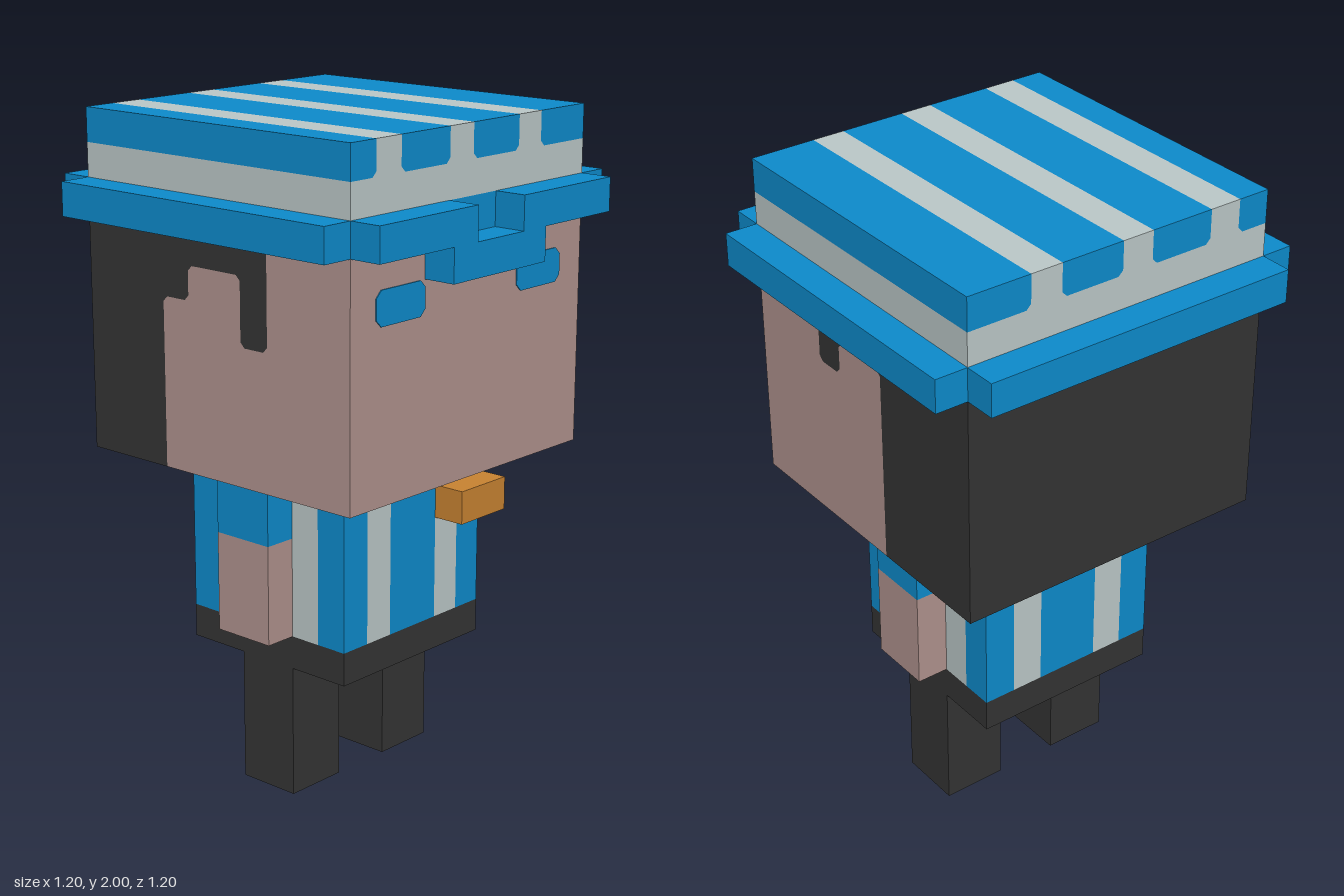
import * as THREE from 'three';

export function createModel() {
  const model = new THREE.Group();
  model.name = 'blockFigure';

  const mat = (name, color) => {
    const m = new THREE.MeshStandardMaterial({ color });
    m.name = name;
    return m;
  };
  const blue = mat('blue cloth', 0x0d8bcc);
  const grey = mat('pale grey cloth', 0xbcc8c8);
  const skin = mat('skin', 0xb0938e);
  const black = mat('charcoal', 0x343434);
  const orange = mat('orange', 0xc88332);

  const add = (name, geometry, material) => {
    const mesh = new THREE.Mesh(geometry, material);
    mesh.name = name;
    model.add(mesh);
    return mesh;
  };
  // Box given by its limits on each axis
  const box = (name, material, x0, x1, y0, y1, z0, z1) =>
    add(name, new THREE.BoxGeometry(x1 - x0, y1 - y0, z1 - z0), material)
      .position.set((x0 + x1) / 2, (y0 + y1) / 2, (z0 + z1) / 2);
  // Outline in x, y pushed along z
  const prismZ = (name, material, pts, z0, z1) => {
    const shape = new THREE.Shape(pts.map(p => new THREE.Vector2(...p)));
    const g = new THREE.ExtrudeGeometry(shape, { depth: z1 - z0, bevelEnabled: false });
    return add(name, g.translate(0, 0, z0), material);
  };
  // Outline in z, y pushed along x
  const prismX = (name, material, pts, x0, x1) => {
    const shape = new THREE.Shape(pts.map(([z, y]) => new THREE.Vector2(-z, y)));
    const g = new THREE.ExtrudeGeometry(shape, { depth: x1 - x0, bevelEnabled: false });
    return add(name, g.rotateY(Math.PI / 2).translate(x0, 0, 0), material);
  };

  // Legs and belt
  for (const s of [-1, 1]) {
    box('leg', black, -0.1, 0.1, 0, 0.4, s * 0.2 - 0.1, s * 0.2 + 0.1);
  }
  box('belt', black, -0.3, 0.3, 0.4, 0.5, -0.3, 0.3);

  // Striped shirt: blue corner posts, grey stripes and wide blue centres
  for (const sx of [-1, 1]) {
    for (const sz of [-1, 1]) {
      box('shirtCorner', blue, sx * 0.25 - 0.05, sx * 0.25 + 0.05, 0.5, 1, sz * 0.25 - 0.05, sz * 0.25 + 0.05);
      box('shirtStripe', grey, sx * 0.15 - 0.05, sx * 0.15 + 0.05, 0.5, 1, sz * 0.25 - 0.05, sz * 0.25 + 0.05);
      box('shirtStripe', grey, sx * 0.25 - 0.05, sx * 0.25 + 0.05, 0.5, 1, sz * 0.15 - 0.05, sz * 0.15 + 0.05);
    }
  }
  box('shirtCentre', blue, -0.1, 0.1, 0.5, 1, -0.3, 0.3);
  box('shirtBack', blue, -0.3, -0.1, 0.5, 1, -0.1, 0.1);
  box('shirtFront', blue, 0.1, 0.3, 0.5, 0.9, -0.1, 0.1);
  box('neckline', skin, 0.1, 0.3, 0.9, 1, -0.1, 0.1);
  box('badge', orange, 0.3, 0.4, 0.81, 0.91, -0.3, -0.1);

  // Arms with short sleeves
  for (const s of [-1, 1]) {
    box('arm', skin, -0.1, 0.1, 0.5, 0.8, s * 0.35 - 0.05, s * 0.35 + 0.05);
    box('sleeve', blue, -0.1, 0.1, 0.8, 1, s * 0.35 - 0.05, s * 0.35 + 0.05);
  }

  // Head core and back hair
  box('head', skin, -0.4, 0.5, 1, 1.7, -0.4, 0.4);
  box('backHair', black, -0.5, -0.4, 1, 1.7, -0.5, 0.5);

  // Side layers of the head: one hairline divides hair from skin
  const c = 0.015;
  const hairlines = {
    left: [[-0.2, 1], [-0.2, 1.5 - c], [-0.2 + c, 1.5], [-0.1 - c, 1.5], [-0.1, 1.5 + c], [-0.1, 1.6 - c],
      [-0.1 + c, 1.6], [0.1 - c, 1.6], [0.1, 1.6 - c], [0.1, 1.4 + c], [0.1 + c, 1.4], [0.2 - c, 1.4],
      [0.2, 1.4 + c], [0.2, 1.7]],
    right: [[-0.1, 1], [-0.1, 1.6 - c], [-0.1 + c, 1.6], [0.1 - c, 1.6], [0.1, 1.6 - c], [0.1, 1.5 + c],
      [0.1 + c, 1.5], [0.2 - c, 1.5], [0.2, 1.5 + c], [0.2, 1.7]],
  };
  for (const [side, line] of Object.entries(hairlines)) {
    const z0 = side === 'left' ? 0.4 : -0.5;
    prismZ(side + 'Hair', black, [...line, [-0.4, 1.7], [-0.4, 1]], z0, z0 + 0.1);
    prismZ(side + 'Cheek', skin, [...line, [0.5, 1.7], [0.5, 1]], z0, z0 + 0.1);
  }

  // Eyes
  for (const s of [-1, 1]) {
    const a = s * 0.3 - 0.1, b = s * 0.3 + 0.1, r = 0.02;
    prismX('eye', blue, [[a + r, 1.5], [b - r, 1.5], [b, 1.5 + r], [b, 1.6 - r],
      [b - r, 1.6], [a + r, 1.6], [a, 1.6 - r], [a, 1.5 + r]], 0.498, 0.503);
  }

  // Hat body
  box('hatBand', blue, -0.5, 0.5, 1.7, 1.8, -0.5, 0.5);
  box('hatSide', grey, -0.5, 0.5, 1.8, 1.9, -0.5, 0.5);

  // Hat top: stripes across, with softened lower corners on the blue ones
  const edges = [-0.5, -0.3, -0.2, 0, 0.1, 0.3, 0.4, 0.5];
  for (let i = 0; i < 7; i++) {
    const a = edges[i], b = edges[i + 1], k = i % 2 ? c : -c;
    const ka = i === 0 ? 0 : k, kb = i === 6 ? 0 : k;
    prismX('hatStripe', i % 2 ? grey : blue,
      [[a - ka, 1.9], [b + kb, 1.9], [b, 1.9 + c], [b, 2], [a, 2], [a, 1.9 + c]], -0.5, 0.5);
  }

  // Brim, open in the middle of the face side with a bar hanging below
  for (const s of [-1, 1]) {
    box('sideBrim', blue, -0.5, 0.5, 1.7, 1.8, s * 0.55 - 0.05, s * 0.55 + 0.05);
    box('faceBrim', blue, 0.5, 0.6, 1.7, 1.8, s * 0.3 - 0.2, s * 0.3 + 0.2);
  }
  box('backBrim', blue, -0.6, -0.5, 1.7, 1.8, -0.5, 0.5);
  box('brimBar', blue, 0.5, 0.6, 1.6, 1.7, -0.2, 0.2);

  return model;
}
